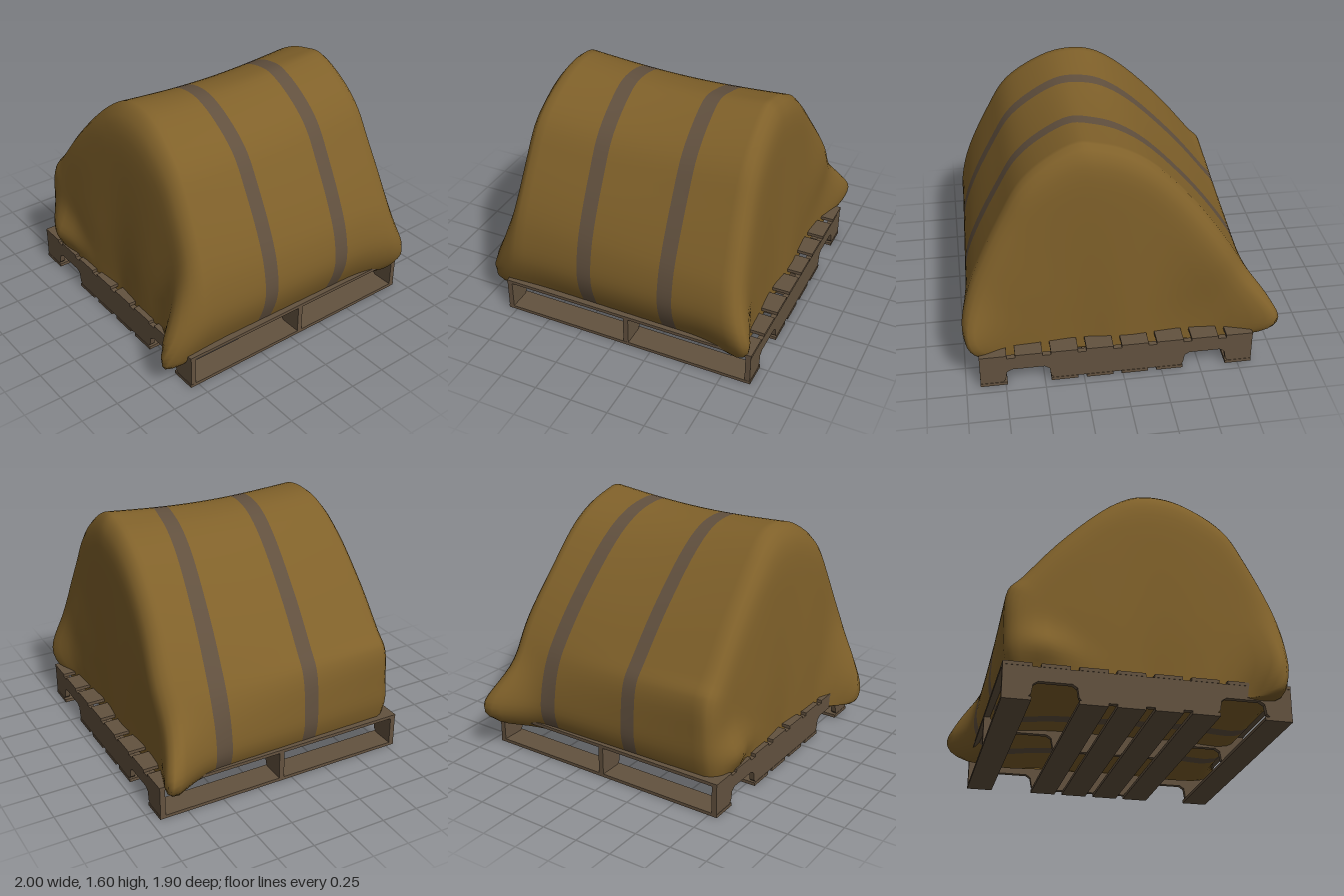
import * as THREE from 'three';

const V = (x, y) => new THREE.Vector3(x, y, 0);
const curve = pts => new THREE.CatmullRomCurve3(pts.map(p => V(p[0], p[1])), false, 'centripetal');

// Arch outlines of the wrapped load at its front and back ends (matching points),
// starting and ending where the cloth meets under the deck
const FRONT = curve([[0.05, 0.15], [-0.4, 0.15], [-0.75, 0.15], [-0.815, 0.3], [-0.83, 0.5], [-0.815, 0.75],
  [-0.73, 0.85], [-0.5, 1.135], [-0.2, 1.435], [-0.03, 1.55], [0.09, 1.58], [0.25, 1.565], [0.42, 1.485],
  [0.59, 1.35], [0.715, 1.14], [0.85, 0.85], [0.905, 0.66], [0.925, 0.45], [0.88, 0.27], [0.81, 0.15],
  [0.45, 0.15], [0.05, 0.15]]);
const BACK = curve([[0.05, 0.15], [-0.4, 0.15], [-0.75, 0.15], [-0.85, 0.3], [-0.84, 0.48], [-0.77, 0.68],
  [-0.68, 0.85], [-0.48, 1.13], [-0.2, 1.43], [-0.02, 1.54], [0.13, 1.585], [0.25, 1.6], [0.45, 1.5],
  [0.6, 1.36], [0.72, 1.15], [0.862, 0.86], [0.935, 0.67], [0.96, 0.46], [0.9, 0.27], [0.81, 0.15],
  [0.45, 0.15], [0.05, 0.15]]);

// Piecewise linear lookup
function ramp(table, y) {
  if (y <= table[0][0]) return table[0][1];
  for (let i = 1; i < table.length; i++) {
    const [y0, z0] = table[i - 1], [y1, z1] = table[i];
    if (y <= y1) return z0 + (z1 - z0) * (y - y0) / (y1 - y0);
  }
  return table[table.length - 1][1];
}
const frontZ = y => ramp([[0.15, 0.765], [0.6, 0.765], [1, 0.75], [1.3, 0.735], [1.45, 0.72], [1.6, 0.69]], y);
const backZ = y => -ramp([[0.15, 0.83], [0.6, 0.83], [1, 0.825], [1.3, 0.82], [1.48, 0.815], [1.6, 0.81]], y);

// Loose cloth at the corners and along the back edges: centre, reach, pull
const PULLS = [
  { c: [0.8, 0.22, 0.76], r: [0.13, 0.36, 0.14], d: [0.02, -0.02, 0.2] },
  { c: [-0.84, 0.26, -0.82], r: [0.13, 0.27, 0.14], d: [-0.19, 0.02, -0.15] },
  { c: [0.92, 0.28, -0.8], r: [0.14, 0.27, 0.14], d: [0.07, -0.02, -0.13] },
  { c: [-0.6, 0.34, 0.76], r: [0.15, 0.13, 0.12], d: [0, 0, 0.08] },
  { c: [-0.62, 0.78, -0.8], r: [0.28, 0.32, 0.15], d: [0, 0, -0.04] },
  { c: [0.85, 0.7, -0.8], r: [0.25, 0.38, 0.15], d: [0, 0, -0.025] },
];
function pullCloth(p) {
  const move = new THREE.Vector3();
  for (const { c, r, d } of PULLS) {
    const q = ((p.x - c[0]) / r[0]) ** 2 + ((p.y - c[1]) / r[1]) ** 2 + ((p.z - c[2]) / r[2]) ** 2;
    move.addScaledVector(new THREE.Vector3(...d), Math.exp(-q));
  }
  return p.add(move);
}

function tarpGeometry() {
  const COLS = 88, INSET = 0.08;
  const rings = [0, 0.15, 0.3, 0.45, 0.6, 0.72, 0.8, 0.86, 0.91, 0.95, 0.98];
  const spans = [8, 2, 6, 2, 8];
  const rows = [];

  // End wall point: shrink the arch toward the middle of the hem
  const endPoint = (prof, wall, sign) => (s, k) => {
    const p = prof.getPoint(s);
    const x = 0.05 + (p.x - 0.05) * k, y = 0.15 + (p.y - 0.15) * k;
    const fold = 0.012 * Math.sin(x * 9 + sign) * (1 - k) * (1.6 - y);
    return new THREE.Vector3(x, y, wall(y) - sign * (INSET * Math.exp((k - 1) / 0.04) + fold));
  };
  const front = endPoint(FRONT, frontZ, 1), back = endPoint(BACK, backZ, -1);

  // Point on the long surface, with the straps running slightly askew
  function across(s, span, f) {
    const a = front(s, 1), b = back(s, 1);
    const q = THREE.MathUtils.clamp((a.x + 0.83) / 1.1, 0, 1);
    const stops = [a.z, 0.19 + 0.06 * q, 0.09 + 0.06 * q, -0.44 + 0.12 * q, -0.55 + 0.13 * q, b.z];
    const z = stops[span] + (stops[span + 1] - stops[span]) * f;
    const t = (a.z - z) / (a.z - b.z);
    const p = a.lerp(b, t);
    const sag = 0.035 * Math.sin(Math.PI * t) * THREE.MathUtils.smoothstep(p.y, 0.5, 1.5);
    return new THREE.Vector3(p.x, p.y - sag, z);
  }

  // Rows run from the front hem, over the top, to the back hem
  rings.forEach(k => rows.push({ mat: 0, at: s => front(s, k) }));
  spans.forEach((n, span) => {
    for (let i = 0; i < n; i++) {
      rows.push({ mat: span % 2, at: s => across(s, span, i / n) });
    }
  });
  rows.push({ mat: 0, at: s => back(s, 1) });
  [...rings].reverse().forEach(k => rows.push({ mat: 0, at: s => back(s, k) }));

  const pos = [], index = [[], []];
  rows.forEach((row, r) => {
    for (let c = 0; c <= COLS; c++) {
      const p = pullCloth(row.at(c / COLS));
      pos.push(p.x, p.y, p.z);
      if (c < COLS && r < rows.length - 1) {
        const a = r * (COLS + 1) + c, d = a + COLS + 1;
        index[row.mat].push(a, a + 1, d, a + 1, d + 1, d);
      }
    }
  });
  const g = new THREE.BufferGeometry();
  g.setAttribute('position', new THREE.Float32BufferAttribute(pos, 3));
  g.setIndex([...index[0], ...index[1]]);
  g.addGroup(0, index[0].length, 0);
  g.addGroup(index[0].length, index[1].length, 1);
  g.computeVertexNormals();
  return g;
}

// Notched runner under the deck
function stringerGeometry() {
  const s = new THREE.Shape();
  s.moveTo(-0.84, 0.02);
  for (const [a, b] of [[-0.66, -0.4], [0.47, 0.74]]) {
    s.lineTo(a - 0.03, 0.02);
    s.lineTo(a - 0.01, 0.04);
    s.lineTo(a, 0.1);
    s.lineTo(a + 0.03, 0.12);
    s.lineTo(b - 0.03, 0.12);
    s.lineTo(b, 0.1);
    s.lineTo(b + 0.01, 0.04);
    s.lineTo(b + 0.03, 0.02);
  }
  s.lineTo(0.91, 0.02);
  s.lineTo(0.91, 0.21);
  s.lineTo(-0.84, 0.21);
  return new THREE.ExtrudeGeometry(s, { depth: 0.035, bevelEnabled: false }).translate(0, 0, -0.0175);
}

export function createModel() {
  const model = new THREE.Group();
  model.name = 'coveredPallet';
  const cloth = new THREE.MeshStandardMaterial({ color: 0x80612a, side: THREE.DoubleSide });
  cloth.name = 'ochre cloth';
  const strap = new THREE.MeshStandardMaterial({ color: 0x61503e, side: THREE.DoubleSide });
  strap.name = 'grey brown strap';
  const wood = new THREE.MeshStandardMaterial({ color: 0x63523f });
  wood.name = 'weathered wood';

  // Wrapped cover with two straps
  const tarp = new THREE.Mesh(tarpGeometry(), [cloth, strap]);
  tarp.name = 'tarpWithStraps';
  model.add(tarp);

  // Wooden pallet
  const pallet = new THREE.Group();
  pallet.name = 'pallet';
  model.add(pallet);
  const add = (name, geo, x, y, z) => {
    const m = new THREE.Mesh(geo, wood);
    m.name = name;
    m.position.set(x, y, z);
    pallet.add(m);
  };
  const board = new THREE.BoxGeometry(0.172, 0.022, 1.75);
  for (let i = 0; i < 8; i++) {
    const x = -0.754 + i * 0.2255;
    add('deckBoard', board, x, 0.221, -0.065);
    if (i !== 1 && i !== 6) add('bottomBoard', board, x, 0.011, -0.065);
  }
  const runner = stringerGeometry();
  for (const z of [0.79, -0.075, -0.92]) add('stringer', runner, 0, 0, z);

  return model;
}
